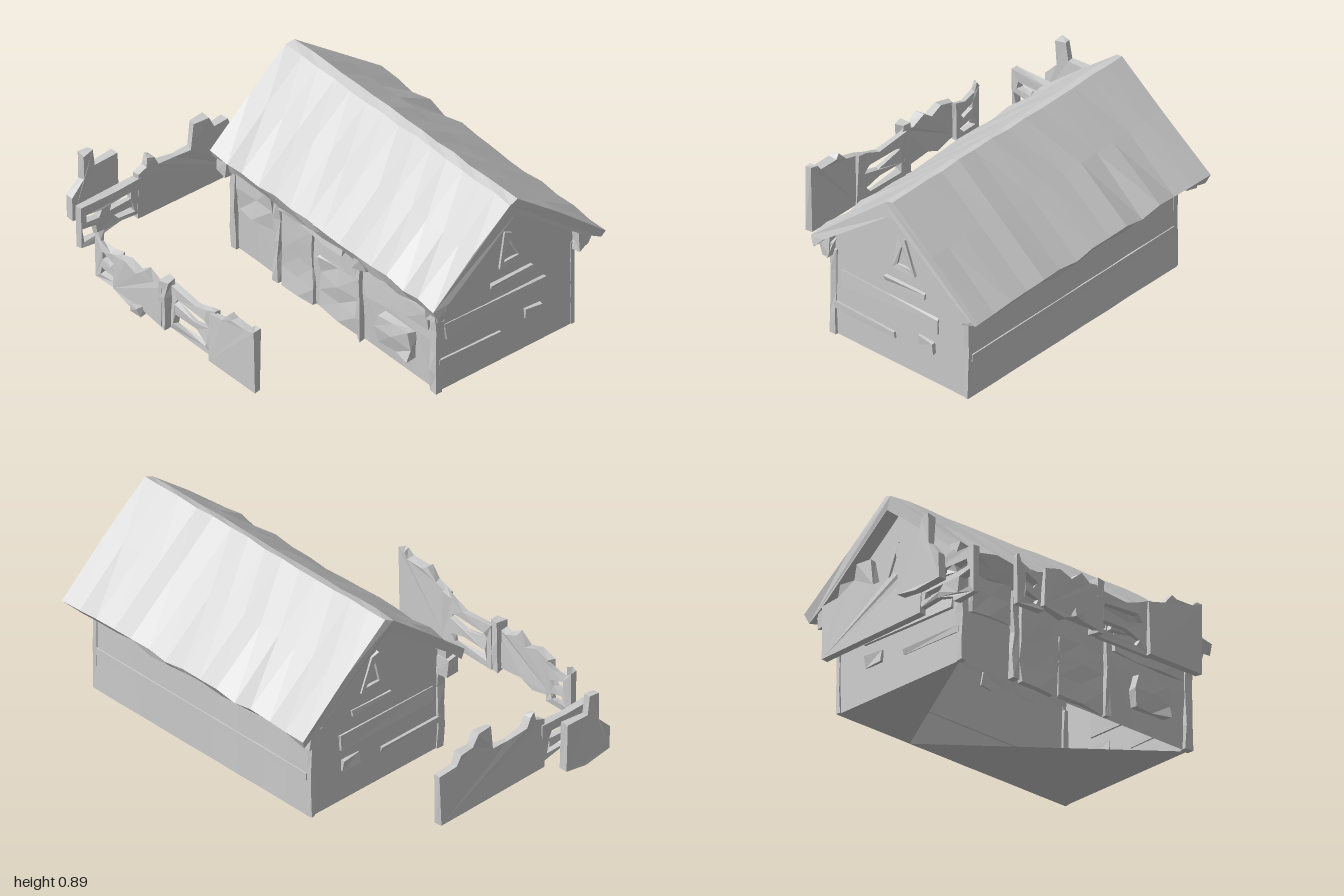
import * as THREE from 'three';

const material = new THREE.MeshStandardMaterial({ color: 0xcccccc, flatShading: true, side: THREE.DoubleSide });

// Repeatable noise in -1..1, the same for equal positions so seams stay closed
function noise(x, y, z, seed) {
  const s = Math.sin(x * 127.1 + y * 311.7 + z * 74.7 + seed * 53.3) * 43758.5453;
  return (s - Math.floor(s)) * 2 - 1;
}

// Shifts vertices a little to make hand-hewn surfaces; nothing sinks below the ground
function roughen(geo, ax, ay, az, seed = 1) {
  const p = geo.attributes.position;
  for (let i = 0; i < p.count; i++) {
    const [x, y, z] = [p.getX(i), p.getY(i), p.getZ(i)].map(v => Math.round(v * 1000) / 1000);
    const ny = y < 0.005 ? y : Math.max(0, y + ay * noise(x, y, z, seed + 1));
    p.setXYZ(i, x + ax * noise(x, y, z, seed), ny, z + az * noise(x, y, z, seed + 2));
  }
  geo.computeVertexNormals();
  return geo;
}

function add(group, name, geo) {
  const mesh = new THREE.Mesh(geo, material);
  mesh.name = name;
  group.add(mesh);
  return mesh;
}

function shapeOf(points) {
  return new THREE.Shape(points.map(([u, v]) => new THREE.Vector2(u, v)));
}

// Sweeps a closed [z, y] section along x, optionally leaving out one of its sides
function sweep(section, x0, x1, steps, jitter, skipSide = -1) {
  const n = section.length, pos = [], index = [];
  for (let i = 0; i <= steps; i++) {
    const x = x0 + (x1 - x0) * i / steps;
    section.forEach(([z, y], j) => {
      const [jx, jy, jz] = jitter(j);
      const end = i === 0 || i === steps ? 1 : 0;
      pos.push(x + end * jx * noise(j, i, 1, 3), y + jy * noise(i, j, 2, 5), z + jz * noise(i, j, 3, 7));
    });
  }
  for (let i = 0; i < steps; i++) {
    for (let j = 0; j < n; j++) {
      if (j === skipSide) continue;
      const a = i * n + j, b = i * n + (j + 1) % n;
      index.push(a, b, a + n, b, b + n, a + n);
    }
  }
  const faces = THREE.ShapeUtils.triangulateShape(section.map(([z, y]) => new THREE.Vector2(z, y)), []);
  for (const [a, b, c] of faces) {
    index.push(a, c, b, a + steps * n, b + steps * n, c + steps * n);
  }
  const geo = new THREE.BufferGeometry();
  geo.setAttribute('position', new THREE.Float32BufferAttribute(pos, 3));
  geo.setIndex(index);
  geo.computeVertexNormals();
  return geo;
}

// Rough block given by its centre and size
function block(group, name, [x, y, z], [w, h, d], rough = 0.008, seed = 1) {
  const geo = new THREE.BoxGeometry(w, h, d, Math.ceil(w / 0.15), Math.ceil(h / 0.12), 1);
  geo.translate(x, y, z);
  return add(group, name, roughen(geo, rough, rough, rough, seed));
}

// Upright plank panel from an outline, with optional openings
function panel(group, name, outline, holes, depth, rough = 0.006) {
  const shape = shapeOf(outline);
  holes.forEach(h => shape.holes.push(shapeOf(h)));
  const geo = new THREE.ExtrudeGeometry(shape, { depth, bevelEnabled: false });
  geo.translate(0, 0, -depth / 2);
  return add(group, name, roughen(geo, rough, rough, rough, 4));
}

function buildHouse() {
  const house = new THREE.Group();
  house.name = 'house';

  // Walls with both gables; the ground side is left open
  const walls = [[0.115, 0], [0.125, 0.25], [0.12, 0.5], [-0.26, 0.83], [-0.64, 0.5], [-0.645, 0]];
  add(house, 'walls', sweep(walls, -0.425, 0.915, 9, j => (j === 1 ? [0, 0.02, 0.008] : [0, 0, 0.002]), 5));

  // Floor covers only part of the ground plan
  const floor = new THREE.BufferGeometry();
  floor.setAttribute('position', new THREE.Float32BufferAttribute([
    0.915, 0, 0.115, 0.915, 0, -0.645, 0, 0, -0.645,
    -0.425, 0, 0.115, 0, 0, -0.645, -0.425, 0, -0.645], 3));
  floor.computeVertexNormals();
  add(house, 'floor', floor);

  // Gabled roof with thickness and ragged edges
  const roof = [[0.195, 0.505], [-0.03, 0.70], [-0.23, 0.87], [-0.27, 0.885], [-0.5, 0.70], [-0.76, 0.485],
    [-0.74, 0.455], [-0.64, 0.51], [-0.26, 0.815], [0.12, 0.515], [0.17, 0.455]];
  const edges = [0, 5, 6, 10];
  add(house, 'roof', sweep(roof, -0.5, 0.985, 14,
    j => (edges.includes(j) ? [0.008, 0.014, 0.008] : [0.008, 0.005, 0.004])));

  // Lumpy beams under both eaves
  const frontBeam = [[0.18, 0.49], [0.11, 0.53], [0.115, 0.42], [0.15, 0.42]];
  const backBeam = [[-0.63, 0.53], [-0.74, 0.475], [-0.68, 0.43], [-0.64, 0.43]];
  for (const [name, section] of [['frontEavesBeam', frontBeam], ['backEavesBeam', backBeam]]) {
    add(house, name, sweep(section, -0.47, 0.96, 11, () => [0.01, 0.015, 0.01]));
  }
  for (const x of [-0.455, 0.45, 0.92]) {
    block(house, 'frontEavesBracket', [x, 0.445, 0.14], [0.06, 0.09, 0.06], 0.014, x);
    block(house, 'backEavesBracket', [x, 0.445, -0.665], [0.06, 0.07, 0.07], 0.014, x + 2);
  }

  // Corner posts
  for (const x of [-0.42, 0.905]) {
    block(house, 'frontCornerPost', [x, 0.22, 0.12], [0.035, 0.44, 0.035], 0.006, x);
    block(house, 'backCornerPost', [x, 0.22, -0.635], [0.025, 0.44, 0.02], 0.003, x);
  }

  // Front wall: door, shutters, boards and a wall box
  block(house, 'door', [0.01, 0.2, 0.125], [0.2, 0.4, 0.03], 0.008, 2);
  block(house, 'doorPost', [-0.12, 0.22, 0.13], [0.035, 0.44, 0.03], 0.008, 3);
  block(house, 'doorPost', [0.42, 0.22, 0.13], [0.025, 0.44, 0.03], 0.008, 5);
  block(house, 'shutter', [-0.27, 0.35, 0.125], [0.23, 0.2, 0.035], 0.012, 4);
  block(house, 'lintel', [0.1, 0.41, 0.13], [0.42, 0.04, 0.03], 0.01, 6);
  block(house, 'frontBoard', [0.67, 0.36, 0.122], [0.42, 0.08, 0.03], 0.01, 7);
  block(house, 'frontBoard', [0.27, 0.15, 0.122], [0.26, 0.28, 0.02], 0.01, 8);
  block(house, 'wallBox', [0.67, 0.165, 0.135], [0.2, 0.15, 0.05], 0.014, 9);

  // Back wall: shallow horizontal board
  block(house, 'backBoard', [0.245, 0.2, -0.643], [1.3, 0.035, 0.012], 0, 1);

  // Gable ends: attic opening, sill, planks and a small hatch
  for (const x of [-0.425, 0.915]) {
    const s = Math.sign(x);
    const attic = panel(house, 'atticWindow',
      [[-0.35, 0.5], [-0.22, 0.5], [-0.25, 0.68], [-0.29, 0.66]],
      [[[-0.325, 0.525], [-0.275, 0.63], [-0.245, 0.525]]], 0.025, 0.004);
    attic.geometry.rotateY(-Math.PI / 2).translate(x, 0, 0);
    block(house, 'gableSill', [x, 0.425, -0.29], [0.025, 0.025, 0.23], 0.006, s);
    block(house, 'gableHatch', [x, 0.18, -0.41], [0.025, 0.05, 0.1], 0.008, s);
    block(house, 'gablePlank', [x, 0.3, -0.2], [0.016, 0.08, 0.55], 0.006, s);
    block(house, 'gablePlank', [x, 0.15, -0.06], [0.016, 0.03, 0.34], 0.006, s);
  }
  return house;
}

function buildFences() {
  const fences = new THREE.Group();
  fences.name = 'fences';

  // Front fence: broken end, planks, post, open rails and a tall solid stretch
  panel(fences, 'frontFenceEnd',
    [[-0.65, 0], [-0.5, 0.01], [-0.49, 0.2], [-0.55, 0.18], [-0.62, 0.2], [-0.635, 0.24], [-0.65, 0.22]],
    [[[-0.61, 0.12], [-0.6, 0.155], [-0.53, 0.13], [-0.55, 0.1]], [[-0.62, 0.03], [-0.6, 0.07], [-0.52, 0.06], [-0.54, 0.03]]],
    0.03).position.z = 0.695;
  panel(fences, 'frontFencePlanks',
    [[-0.51, 0.02], [-0.4, 0], [-0.33, 0.03], [-0.19, 0.01], [-0.19, 0.22], [-0.24, 0.21], [-0.3, 0.245], [-0.36, 0.2], [-0.42, 0.22], [-0.5, 0.2]],
    [], 0.035).position.z = 0.715;
  block(fences, 'frontFencePost', [-0.18, 0.128, 0.705], [0.04, 0.256, 0.05]);
  panel(fences, 'frontFenceRails',
    [[-0.17, 0], [0.14, 0], [0.14, 0.26], [0.08, 0.24], [0, 0.21], [-0.17, 0.23]],
    [[[-0.14, 0.145], [-0.13, 0.175], [0.06, 0.175], [0.09, 0.14], [0, 0.125]],
      [[-0.14, 0.035], [-0.13, 0.09], [0, 0.085], [0.08, 0.06], [0.06, 0.03]]],
    0.028).position.z = 0.688;
  panel(fences, 'frontFencePanel',
    [[0.12, 0], [0.42, 0], [0.42, 0.33], [0.39, 0.33], [0.36, 0.3], [0.27, 0.3], [0.24, 0.32], [0.2, 0.27], [0.12, 0.25]],
    [], 0.035).position.z = 0.705;
  block(fences, 'fenceSplinter', [-0.33, 0.03, 0.74], [0.05, 0.04, 0.04], 0.012);

  // Side fence: drawn along z, then turned into place
  const side = new THREE.Group();
  side.name = 'sideFence';
  side.rotation.y = -Math.PI / 2;
  side.position.x = -0.84;
  panel(side, 'sideFencePanel',
    [[-0.29, 0], [0.33, 0.01], [0.33, 0.25], [0.285, 0.27], [0.27, 0.32], [0.24, 0.31], [0.22, 0.26], [0.12, 0.25],
      [0.03, 0.25], [0.01, 0.37], [-0.07, 0.37], [-0.09, 0.31], [-0.17, 0.31], [-0.19, 0.26], [-0.29, 0.25]],
    [], 0.035);
  panel(side, 'sideFenceRails',
    [[0.31, 0.04], [0.42, 0.05], [0.53, 0.03], [0.53, 0], [0.65, 0.015], [0.65, 0.23], [0.45, 0.22], [0.31, 0.23]],
    [[[0.36, 0.14], [0.37, 0.175], [0.48, 0.165], [0.49, 0.14]],
      [[0.55, 0.13], [0.53, 0.165], [0.61, 0.18], [0.62, 0.14]],
      [[0.55, 0.04], [0.56, 0.1], [0.635, 0.12], [0.63, 0.04]],
      [[0.35, 0.07], [0.36, 0.1], [0.46, 0.1], [0.44, 0.075]]],
    0.03);
  fences.add(side);

  // Loose fence piece outside the side fence
  const loose = panel(fences, 'looseFencePiece',
    [[0.33, 0.05], [0.44, 0.04], [0.58, 0.05], [0.58, 0.17], [0.52, 0.24], [0.52, 0.37], [0.465, 0.37], [0.455, 0.28], [0.33, 0.29]],
    [], 0.035);
  loose.rotation.y = -Math.PI / 2;
  loose.position.x = -0.975;
  return fences;
}

export function createModel() {
  const model = new THREE.Group();
  model.name = 'cottageWithFences';
  model.add(buildHouse(), buildFences());
  return model;
}
